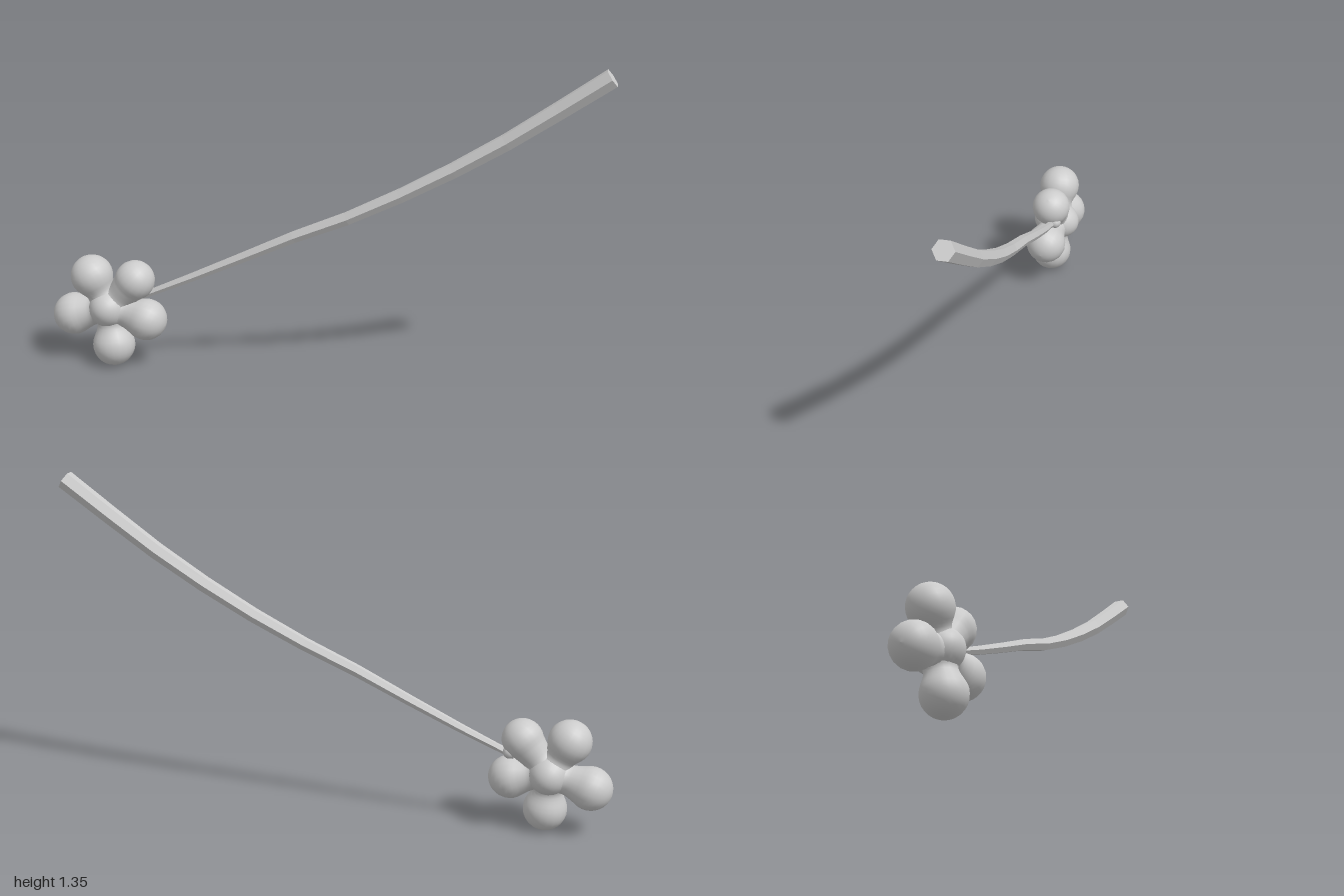
import * as THREE from 'three';

const V = (x, y, z) => new THREE.Vector3(x, y, z);
const grey = new THREE.MeshStandardMaterial({ color: 0xcccccc });
const facetedGrey = new THREE.MeshStandardMaterial({ color: 0xcccccc, flatShading: true });

function addMesh(group, name, geometry, material = grey) {
  const mesh = new THREE.Mesh(geometry, material);
  mesh.name = name;
  group.add(mesh);
  return mesh;
}

// Six-sided tapering rod with closed ends, swept along a gently bent path
function stemGeometry() {
  const curve = new THREE.CatmullRomCurve3([
    V(-0.65, 0.305, -0.365), V(-0.4, 0.435, -0.225), V(-0.05, 0.63, -0.02),
    V(0.12, 0.715, 0.08), V(0.33, 0.84, 0.195), V(0.6, 1.025, 0.35), V(0.967, 1.323, 0.567),
  ]);
  const steps = 9, sides = 6;
  const side = V(-0.5, 0, 0.866);
  const positions = [], index = [];
  for (let i = -1; i <= steps + 1; i++) {
    const t = THREE.MathUtils.clamp(i / steps, 0, 1);
    const radius = i < 0 || i > steps ? 0 : 0.014 + 0.026 * Math.pow(t, 0.8);
    const centre = curve.getPointAt(t);
    const up = side.clone().cross(curve.getTangentAt(t)).normalize();
    for (let j = 0; j < sides; j++) {
      const a = (j / sides) * Math.PI * 2;
      const p = centre.clone().addScaledVector(side, Math.cos(a) * radius).addScaledVector(up, -Math.sin(a) * radius);
      positions.push(p.x, p.y, p.z);
    }
  }
  for (let i = 0; i < steps + 2; i++) {
    for (let j = 0; j < sides; j++) {
      const k = (j + 1) % sides;
      const a = i * sides + j, b = i * sides + k, c = a + sides, d = b + sides;
      if (i > 0) index.push(a, c, b);
      if (i < steps + 1) index.push(b, c, d);
    }
  }
  // Make sure that the faces point away from the path
  const p = (n) => V(...positions.slice(n * 3, n * 3 + 3));
  const [a, b, c] = index.slice(36, 39).map(p);
  const normal = b.clone().sub(a).cross(c.clone().sub(a));
  const mid = a.clone().add(b).add(c).divideScalar(3);
  const core = curve.getPointAt(0.5 / steps);
  if (normal.dot(mid.sub(core)) < 0) {
    for (let i = 0; i < index.length; i += 3) [index[i], index[i + 1]] = [index[i + 1], index[i]];
  }
  const geometry = new THREE.BufferGeometry();
  geometry.setAttribute('position', new THREE.Float32BufferAttribute(positions, 3));
  geometry.setIndex(index);
  geometry.computeVertexNormals();
  return geometry;
}

// Round petal lobe on a waisted neck, rising along +y
function petalGeometry(length, radius) {
  const neck = new THREE.SplineCurve([
    [0.078, 0], [0.066, 0.05], [0.062, 0.08], [radius * 0.88, length - radius * 0.47],
  ].map(([x, y]) => new THREE.Vector2(x, y))).getPoints(10);
  const ball = [];
  for (let i = 1; i <= 10; i++) {
    const a = -0.49 + (i / 10) * (Math.PI / 2 + 0.49);
    ball.push(new THREE.Vector2(Math.max(0, Math.cos(a) * radius), length + Math.sin(a) * radius));
  }
  return new THREE.LatheGeometry([...neck, ...ball], 20);
}

export function createModel() {
  const model = new THREE.Group();
  addMesh(model, 'stem', stemGeometry(), facetedGrey);

  const flower = new THREE.Group();
  flower.name = 'flower';
  model.add(flower);
  const heart = V(-0.775, 0.245, -0.43);
  const up = V(0, 1, 0);

  // Five petals around the heart: lobe centre and radius
  const petals = [
    [V(-0.84, 0.38, -0.465), 0.088],
    [V(-0.68, 0.375, -0.37), 0.083],
    [V(-0.645, 0.21, -0.335), 0.087],
    [V(-0.77, 0.088, -0.405), 0.088],
    [V(-0.91, 0.20, -0.522), 0.088],
  ];
  petals.forEach(([tip, radius], i) => {
    const direction = tip.clone().sub(heart);
    const petal = addMesh(flower, `petal${i + 1}`, petalGeometry(direction.length(), radius));
    petal.position.copy(heart);
    petal.quaternion.setFromUnitVectors(up, direction.normalize());
  });

  // Bulging heart, longest along the flower's axis
  const centre = addMesh(flower, 'flowerCentre', new THREE.SphereGeometry(0.085, 24, 16));
  centre.position.copy(heart);
  centre.scale.set(1, 1.2, 1);
  centre.quaternion.setFromUnitVectors(up, V(0.6, -0.15, -0.79).normalize());

  // Small knob joining the stem to the flower
  const knob = addMesh(flower, 'stemJoint', new THREE.SphereGeometry(0.026, 10, 8));
  knob.position.set(-0.625, 0.325, -0.37);
  return model;
}
